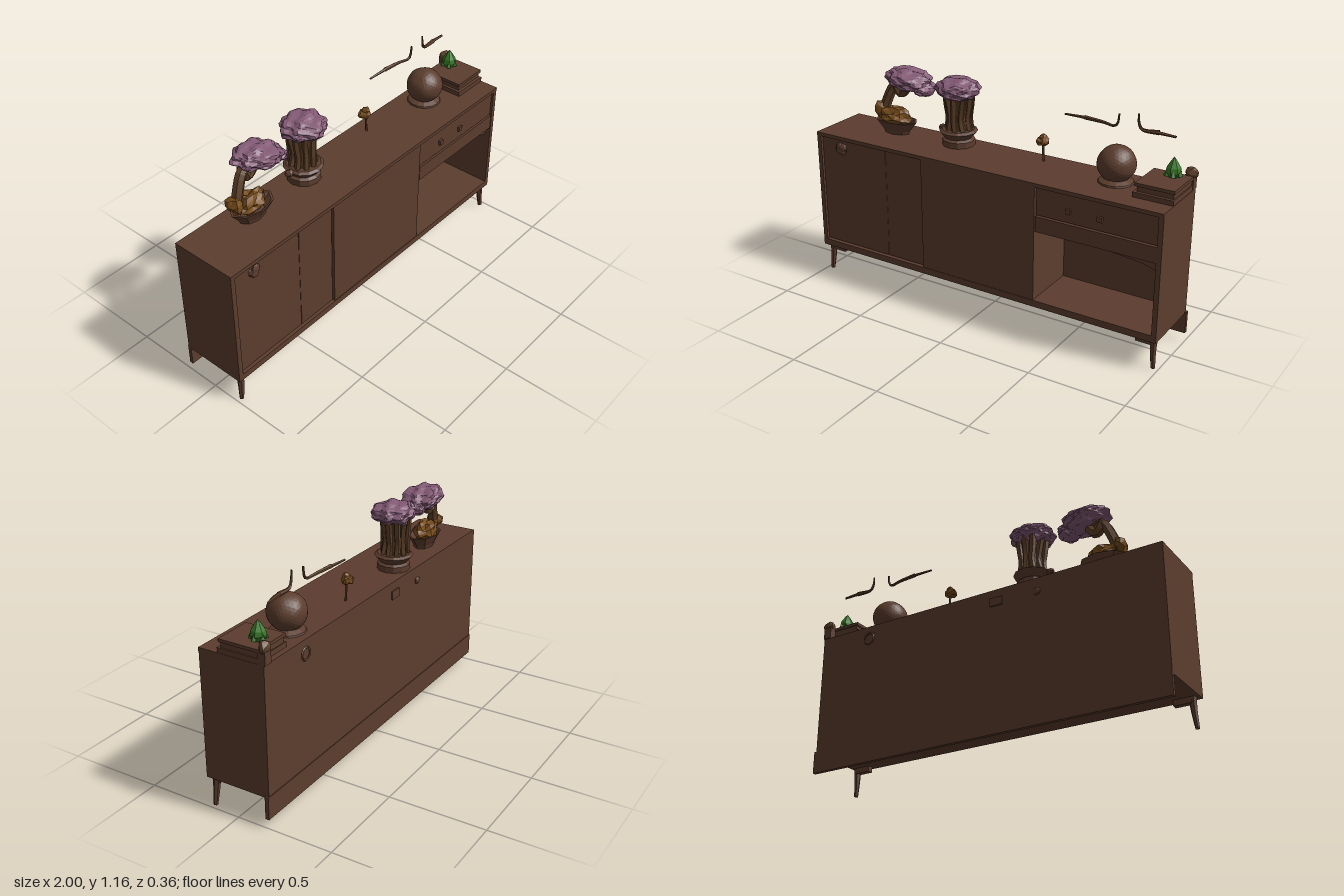
import * as THREE from 'three';

const flat = (name, color) => {
  const m = new THREE.MeshStandardMaterial({ color, side: THREE.DoubleSide, flatShading: true });
  m.name = name;
  return m;
};

export function createModel() {
  const root = new THREE.Group();
  root.name = 'sideboard';
  const wood = flat('brown wood', 0x5c3d2e);
  const bark = flat('bark', 0x5e4028);
  const ochre = flat('ochre', 0x7a4f1c);
  const pink = flat('mauve blossom', 0x835a75);
  const green = flat('green', 0x3a7a2a);

  const add = (name, geo, mat, x = 0, y = 0, z = 0, parent = root) => {
    const m = new THREE.Mesh(geo, mat);
    m.name = name;
    m.position.set(x, y, z);
    parent.add(m);
    return m;
  };
  // box given by its limits
  const box = (name, x0, x1, y0, y1, z0, z1, mat = wood) =>
    add(name, new THREE.BoxGeometry(x1 - x0, y1 - y0, z1 - z0), mat, (x0 + x1) / 2, (y0 + y1) / 2, (z0 + z1) / 2);
  // turned shape from [radius, height] pairs
  const lathe = (name, pts, seg, mat, x, y, z) =>
    add(name, new THREE.LatheGeometry(pts.map(p => new THREE.Vector2(...p)), seg), mat, x, y, z);
  // rough ellipsoid, bumped by a smooth rule of direction
  const lump = (name, r, detail, bump, freq, mat, x, y, z) => {
    const g = new THREE.IcosahedronGeometry(1, detail);
    const p = g.attributes.position, v = new THREE.Vector3();
    for (let i = 0; i < p.count; i++) {
      v.fromBufferAttribute(p, i);
      const n = Math.sin(v.x * freq + 1.3 * v.y + x * 9) * Math.sin(v.y * freq + 2 * v.z) + Math.sin(v.z * freq + v.x * 3);
      v.multiplyScalar(1 + bump * n * 0.5);
      p.setXYZ(i, v.x * r[0], v.y * r[1], v.z * r[2]);
    }
    g.computeVertexNormals();
    return add(name, g, mat, x, y, z);
  };
  // tube through points, with radius r0 at the start and r1 at the end
  const limb = (name, pts, r0, r1, mat, seg = 12, sides = 6) => {
    const curve = new THREE.CatmullRomCurve3(pts.map(p => new THREE.Vector3(...p)));
    const g = new THREE.TubeGeometry(curve, seg, 1, sides);
    const p = g.attributes.position, v = new THREE.Vector3();
    for (let i = 0; i < p.count; i++) {
      const t = Math.floor(i / (sides + 1)) / seg, c = curve.getPointAt(t);
      v.fromBufferAttribute(p, i).sub(c).multiplyScalar(r0 + (r1 - r0) * t).add(c);
      p.setXYZ(i, v.x, v.y, v.z);
    }
    g.computeVertexNormals();
    return add(name, g, mat);
  };

  // Cabinet carcass
  box('top', -1, 0.99, 0.79, 0.81, -0.168, 0.182);
  box('bottom', -1, 0.99, 0.155, 0.19, -0.168, 0.18);
  box('back', -1, 0.99, 0.16, 0.8, -0.168, -0.13);
  box('leftEndPanel', -1, -0.975, 0.17, 0.8, -0.165, 0.18);
  box('rightEndPanel', 0.965, 0.99, 0.17, 0.8, -0.165, 0.18);
  box('backSkirt', -1, 1, 0.05, 0.165, -0.172, -0.152);

  // Doors and centre panel
  box('doorLeft', -0.975, -0.562, 0.195, 0.79, -0.13, 0.166);
  box('doorRight', -0.558, -0.335, 0.195, 0.79, -0.13, 0.166);
  box('doorSeam', -0.562, -0.558, 0.27, 0.71, 0.15, 0.168);
  box('centrePanel', -0.33, 0.33, 0.19, 0.79, -0.13, 0.177);
  lump('doorKnob', [0.035, 0.032, 0.015], 1, 0.3, 4, wood, -0.85, 0.74, 0.17);

  // Drawers above the open niche
  box('drawer', 0.335, 0.965, 0.645, 0.785, -0.13, 0.168);
  box('lowerDrawer', 0.335, 0.965, 0.56, 0.64, -0.13, 0.176);
  for (const x of [0.51, 0.675])
    add('drawerKnob', new THREE.BoxGeometry(0.026, 0.026, 0.016), wood, x, 0.705, 0.172);
  const sliver = new THREE.Shape([[0.7, 0.56], [0.965, 0.56], [0.965, 0.505], [0.88, 0.53], [0.72, 0.545]].map(p => new THREE.Vector2(...p)));
  add('nicheTrim', new THREE.ExtrudeGeometry(sliver, { depth: 0.008, bevelEnabled: false }), wood, 0, 0, 0.14);

  // Front legs with brackets
  for (const s of [-1, 1]) {
    const x = s * 0.965;
    limb('frontLeg', [[x, 0.16, 0.143], [x, 0.1, 0.146], [x + s * 0.008, 0.005, 0.152]], 0.02, 0.011, wood, 4, 6);
    box('legBracket', Math.min(s * 0.875, x), Math.max(s * 0.875, x), 0.125, 0.157, 0.125, 0.155);
  }

  // Fittings on the back
  add('backRing', new THREE.TorusGeometry(0.03, 0.006, 5, 14), wood, 0.68, 0.74, -0.168);
  box('backPlate', -0.145, -0.075, 0.72, 0.765, -0.175, -0.166);
  lump('backStud', [0.022, 0.018, 0.01], 1, 0.2, 4, wood, -0.34, 0.735, -0.168);

  // Leaning dwarf tree in a boat shaped dish
  const dish = lathe('dish', [[0, 0], [0.075, 0], [0.08, 0.015], [0.125, 0.07], [0.112, 0.07], [0.07, 0.035], [0, 0.035]], 8, wood, -0.64, 0.81, -0.045);
  dish.scale.z = 0.62;
  lump('moss', [0.085, 0.05, 0.055], 2, 0.35, 6, ochre, -0.645, 0.895, -0.045);
  lump('rootKnot', [0.037, 0.042, 0.045], 1, 0.3, 4, ochre, -0.735, 0.928, -0.05);
  limb('leaningTrunk', [[-0.73, 0.9, -0.05], [-0.7, 0.99, -0.06], [-0.66, 1.06, -0.07], [-0.56, 1.09, -0.08]], 0.028, 0.026, bark);
  limb('loopBranch', [[-0.66, 1.07, -0.07], [-0.625, 1.02, -0.075], [-0.585, 1.06, -0.07]], 0.03, 0.026, bark);
  lump('leaningBlossom', [0.125, 0.052, 0.1], 6, 0.17, 9, pink, -0.57, 1.105, -0.07).rotation.z = -0.15;
  lump('lowBlossom', [0.05, 0.036, 0.07], 4, 0.17, 8, pink, -0.47, 1.068, -0.065);

  // Upright dwarf tree in a round pot
  lathe('pot', [[0, 0], [0.085, 0], [0.085, 0.03], [0.07, 0.04], [0.1, 0.075], [0.085, 0.085], [0, 0.08]], 12, wood, -0.265, 0.81, -0.07);
  lump('potHandle', [0.025, 0.018, 0.02], 1, 0.2, 4, wood, -0.36, 0.882, -0.07);
  add('trunkCore', new THREE.CylinderGeometry(0.05, 0.055, 0.2, 9), bark, -0.265, 0.97, -0.075);
  for (let i = 0; i < 9; i++) {
    const a = i * Math.PI * 2 / 9, c = Math.cos(a), s = Math.sin(a), k = i % 2 ? 0.053 : 0.062;
    limb('trunkStrand', [[-0.265 + c * 0.065, 0.88, -0.075 + s * 0.06], [-0.265 + c * (k - 0.01), 0.95, -0.075 + s * k],
      [-0.265 + c * k, 1.01, -0.075 + s * k], [-0.265 + c * 0.07, 1.08, -0.075 + s * 0.065]], 0.016, 0.018, bark, 8, 5);
  }
  lump('uprightBlossom', [0.11, 0.056, 0.108], 6, 0.16, 9, pink, -0.265, 1.105, -0.068);

  // Small sprout
  limb('sproutStem', [[0.225, 0.81, -0.09], [0.222, 0.86, -0.09], [0.22, 0.91, -0.09]], 0.006, 0.006, bark, 5, 5);
  lump('sproutHead', [0.034, 0.024, 0.03], 1, 0.35, 5, ochre, 0.215, 0.915, -0.09);
  lump('sproutTip', [0.02, 0.018, 0.02], 1, 0.2, 5, ochre, 0.22, 0.934, -0.09);

  // Globe vase
  lump('globe', [0.093, 0.09, 0.095], 5, 0.02, 7, wood, 0.642, 0.902, -0.045);
  lathe('globeFoot', [[0, 0], [0.088, 0], [0.085, 0.008], [0.05, 0.025], [0, 0.025]], 14, wood, 0.642, 0.81, -0.045);

  // Floating twigs
  limb('longTwig', [[0.31, 1.056, -0.14], [0.43, 1.06, -0.135]], 0.005, 0.008, bark, 4, 5);
  limb('longTwigHook', [[0.42, 1.06, -0.135], [0.53, 1.058, -0.125], [0.59, 1.055, -0.115], [0.605, 1.075, -0.115], [0.61, 1.118, -0.115]], 0.011, 0.005, bark);
  limb('shortTwigHook', [[0.706, 1.135, -0.12], [0.71, 1.09, -0.12], [0.725, 1.062, -0.122], [0.81, 1.06, -0.125]], 0.004, 0.012, bark);
  limb('shortTwig', [[0.8, 1.06, -0.125], [0.893, 1.054, -0.13]], 0.009, 0.006, bark, 4, 5);

  // Chest with its corner knob and bud
  box('chestBase', 0.785, 0.988, 0.81, 0.835, -0.14, 0.08);
  box('chestBody', 0.8, 0.982, 0.835, 0.865, -0.135, 0.064);
  box('chestLid', 0.79, 0.988, 0.862, 0.878, -0.14, 0.072);
  box('chestPost', 0.945, 0.99, 0.81, 0.88, -0.175, -0.135);
  lump('cornerKnob', [0.03, 0.03, 0.026], 1, 0.25, 3, bark, 0.968, 0.888, -0.157);
  lathe('bud', [[0, 0], [0.025, 0.003], [0.038, 0.028], [0.034, 0.05], [0.015, 0.08], [0, 0.1]], 7, green, 0.91, 0.877, -0.085);
  for (let i = 0; i < 5; i++) {
    const a = i * Math.PI * 0.4;
    const leaf = add('budLeaf', new THREE.ConeGeometry(0.014, 0.06, 4), green, 0.91 + Math.cos(a) * 0.027, 0.915, -0.085 + Math.sin(a) * 0.027);
    leaf.rotation.set(-Math.sin(a) * 0.25, 0, Math.cos(a) * 0.25);
  }
  return root;
}
